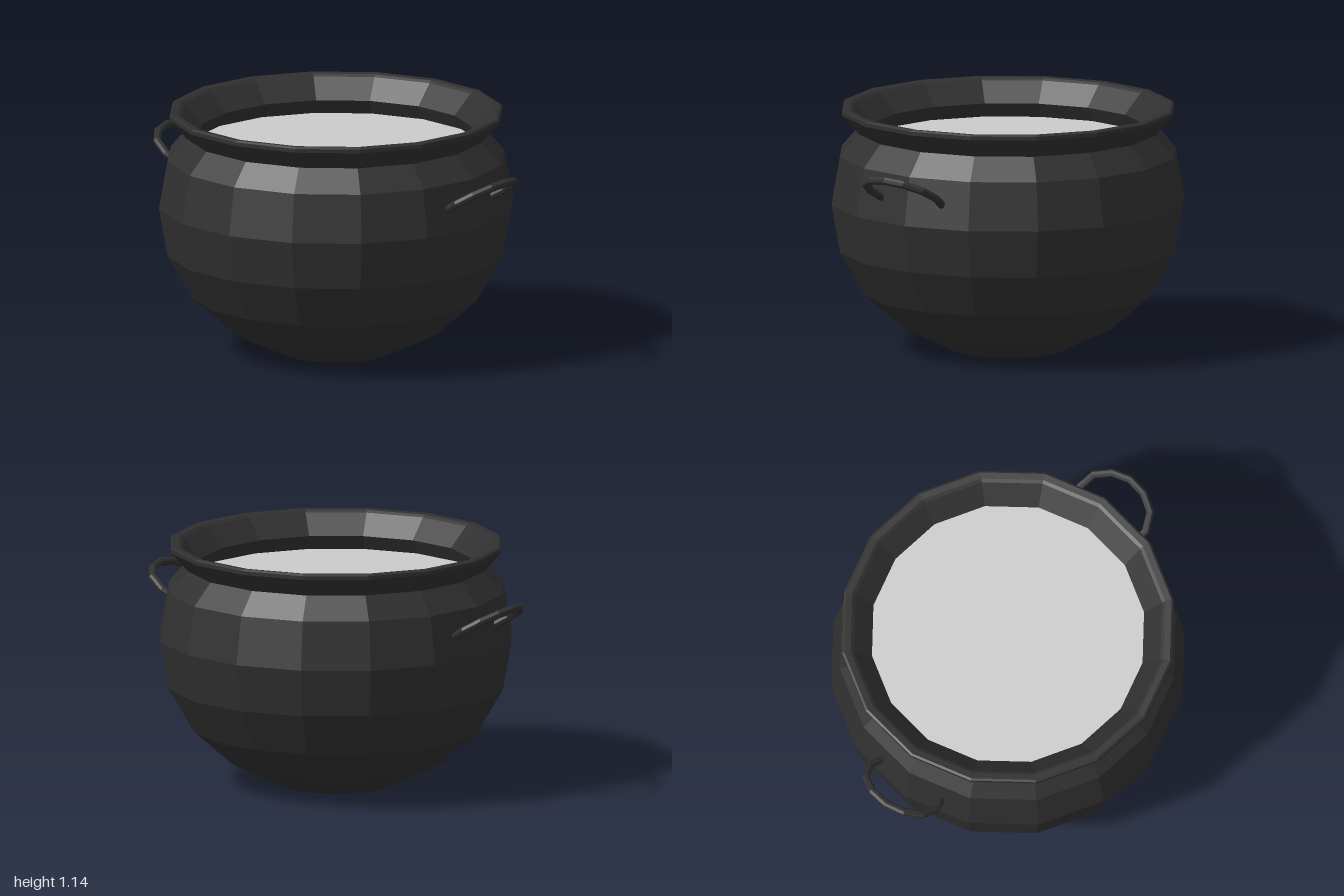
import * as THREE from 'three';

const SIDES = 16;

export function createModel() {
  const root = new THREE.Group();
  const iron = new THREE.MeshStandardMaterial({ color: 0x303030, flatShading: true });
  const grey = new THREE.MeshStandardMaterial({ color: 0xcccccc, flatShading: true });

  const add = (name, geometry, material) => {
    const mesh = new THREE.Mesh(geometry, material);
    mesh.name = name;
    root.add(mesh);
    return mesh;
  };
  const lathe = (profile) =>
    new THREE.LatheGeometry(profile.map(([r, y]) => new THREE.Vector2(r, y)), SIDES);

  // Round belly, from the flat base up to the neck
  add('potBody', lathe([
    [0, 0], [0.26, 0], [0.49, 0.108], [0.672, 0.27], [0.79, 0.475],
    [0.83, 0.7], [0.79, 0.925], [0.7, 1.03],
  ]), iron);

  // Flared rim: outside, thick lip, then the inside down to the narrow neck
  add('rim', lathe([
    [0.7, 1.03], [0.78, 1.12], [0.78, 1.138], [0.77, 1.145],
    [0.74, 1.142], [0.725, 1.132], [0.64, 1.038],
  ]), iron);

  // Inner wall widening below the neck
  add('innerWall', lathe([[0.64, 1.038], [0.675, 0.97]]), iron);

  // Flat surface of the contents
  const contents = new THREE.CircleGeometry(0.675, SIDES).rotateX(-Math.PI / 2);
  add('contents', contents, grey).position.y = 0.97;

  // Tilted loop handles, one on each side
  const half = [[0.765, 0.168], [0.82, 0.188], [0.905, 0.168], [0.96, 0.095]];
  const outline = [...half, [0.98, 0], ...half.map(([x, z]) => [x, -z]).reverse()];
  for (const [name, side] of [['leftHandle', 1], ['rightHandle', -1]]) {
    const points = outline.map(([x, z]) =>
      new THREE.Vector3(side * x, 0.815 + (x - 0.78) * 0.6, side * z));
    const path = new THREE.CatmullRomCurve3(points);
    add(name, new THREE.TubeGeometry(path, 8, 0.019, 8), iron);
  }

  return root;
}
